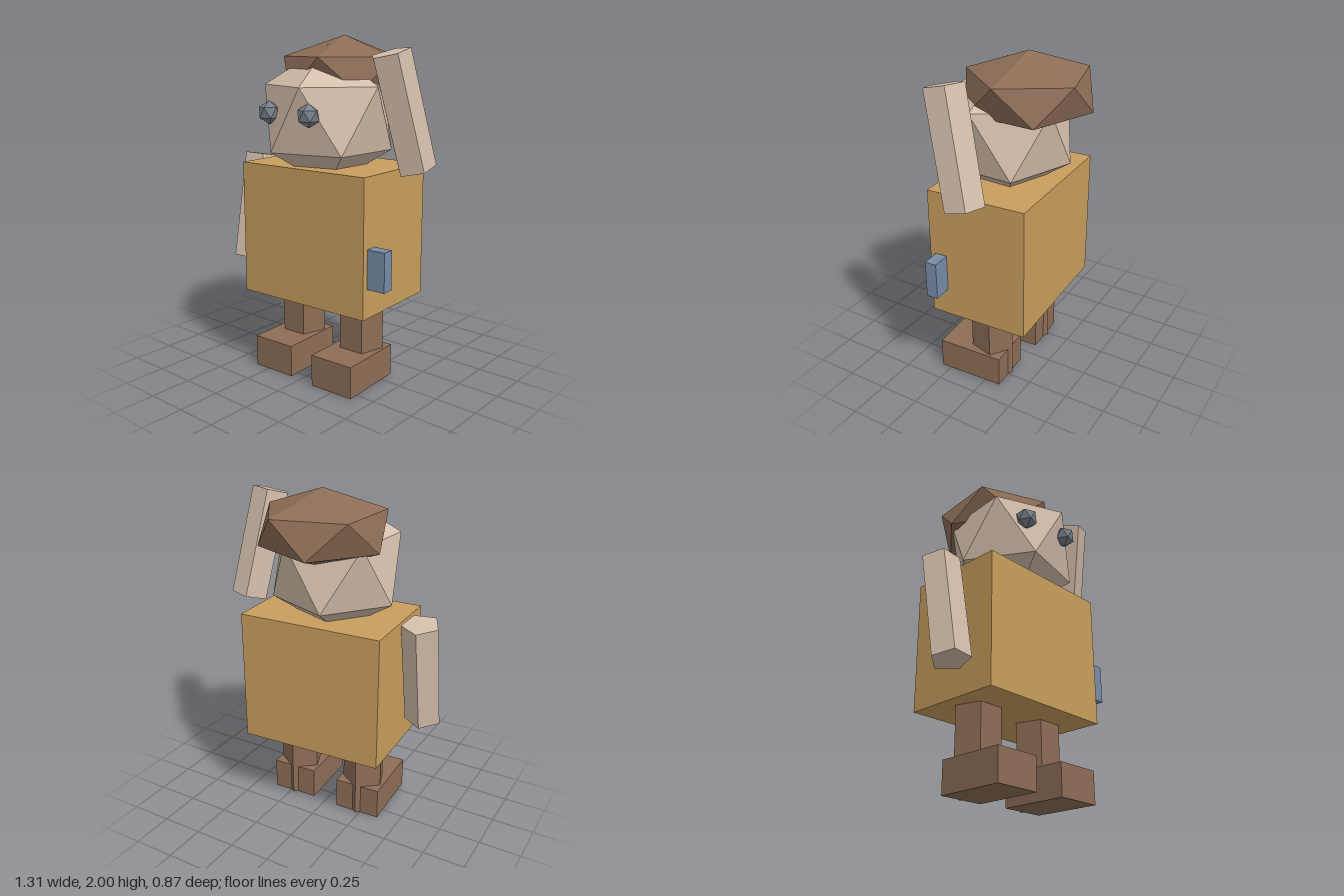
import * as THREE from 'three';
import { ConvexGeometry } from 'three/addons/geometries/ConvexGeometry.js';

const mat = (name, color) => {
  const m = new THREE.MeshStandardMaterial({ color, flatShading: true });
  m.name = name;
  return m;
};

// Twenty-sided ball standing on a vertex, optionally squashed in height
function icoBall(r, squash = 1) {
  const pts = [new THREE.Vector3(0, r * squash, 0), new THREE.Vector3(0, -r * squash, 0)];
  const ring = r * 2 / Math.sqrt(5), h = r * squash / Math.sqrt(5);
  for (let i = 0; i < 10; i++) {
    const a = i * Math.PI / 5;
    pts.push(new THREE.Vector3(Math.cos(a) * ring, i % 2 ? -h : h, Math.sin(a) * ring));
  }
  return new ConvexGeometry(pts);
}

export function createModel() {
  const root = new THREE.Group();
  root.name = 'figure';
  const ochre = mat('ochre', 0xc99e5d);
  const skin = mat('skin', 0xd5bfac);
  const brown = mat('brown', 0x8d6d56);
  const blue = mat('blue', 0x778ca8);
  const grey = mat('grey', 0x7a818a);
  const TURN = 0.046;

  const add = (parent, name, geo, material, x, y, z, ry = 0) => {
    const m = new THREE.Mesh(geo, material);
    m.name = name;
    m.position.set(x, y, z);
    m.rotation.y = ry;
    parent.add(m);
    return m;
  };

  // Torso and the small block at its side
  add(root, 'torso', new THREE.BoxGeometry(0.87, 0.79, 0.605), ochre, 0.008, 0.875, 0.015, TURN);
  add(root, 'sideBlock', new THREE.BoxGeometry(0.2, 0.225, 0.071), blue, 0.464, 0.762, 0.225, TURN);

  // Legs run down through the feet and poke out at the heel
  for (const [side, x] of [['left', 0.232], ['right', -0.222]]) {
    add(root, side + 'Leg', new THREE.CylinderGeometry(0.132, 0.132, 0.5, 5, 1, false, Math.PI),
      brown, x, 0.252, 0.02, TURN);
    add(root, side + 'Foot', new THREE.BoxGeometry(0.28, 0.19, 0.41), brown, x + 0.003, 0.095, 0.112, TURN);
  }

  // Five-sided arm between two end points
  const arm = (name, top, bottom, spin) => {
    const a = new THREE.Vector3(...top), b = new THREE.Vector3(...bottom);
    const geo = new THREE.CylinderGeometry(0.112, 0.112, a.distanceTo(b), 5, 1, false, spin);
    const c = a.clone().add(b).multiplyScalar(0.5);
    const m = add(root, name, geo, skin, c.x, c.y, c.z);
    m.quaternion.setFromUnitVectors(new THREE.Vector3(0, 1, 0), a.sub(b).normalize());
  };
  arm('rightArm', [-0.541, 1.275, 0.044], [-0.538, 0.635, 0.163], 3.29);
  arm('leftArm', [0.485, 1.905, 0.127], [0.562, 1.283, -0.027], -1.53);

  // Head with hair and eyes, turned slightly the other way
  const head = new THREE.Group();
  head.name = 'headGroup';
  head.position.set(0.002, 1.54, 0.05);
  head.rotation.y = -TURN;
  root.add(head);
  add(head, 'head', icoBall(0.41), skin, 0, 0, 0);
  add(head, 'hair', icoBall(0.4, 0.545), brown, 0, 0.242, -0.14);
  for (const [side, s] of [['left', 1], ['right', -1]])
    add(head, side + 'Eye', icoBall(0.066), grey, s * 0.152, 0.037, 0.317);

  return root;
}
